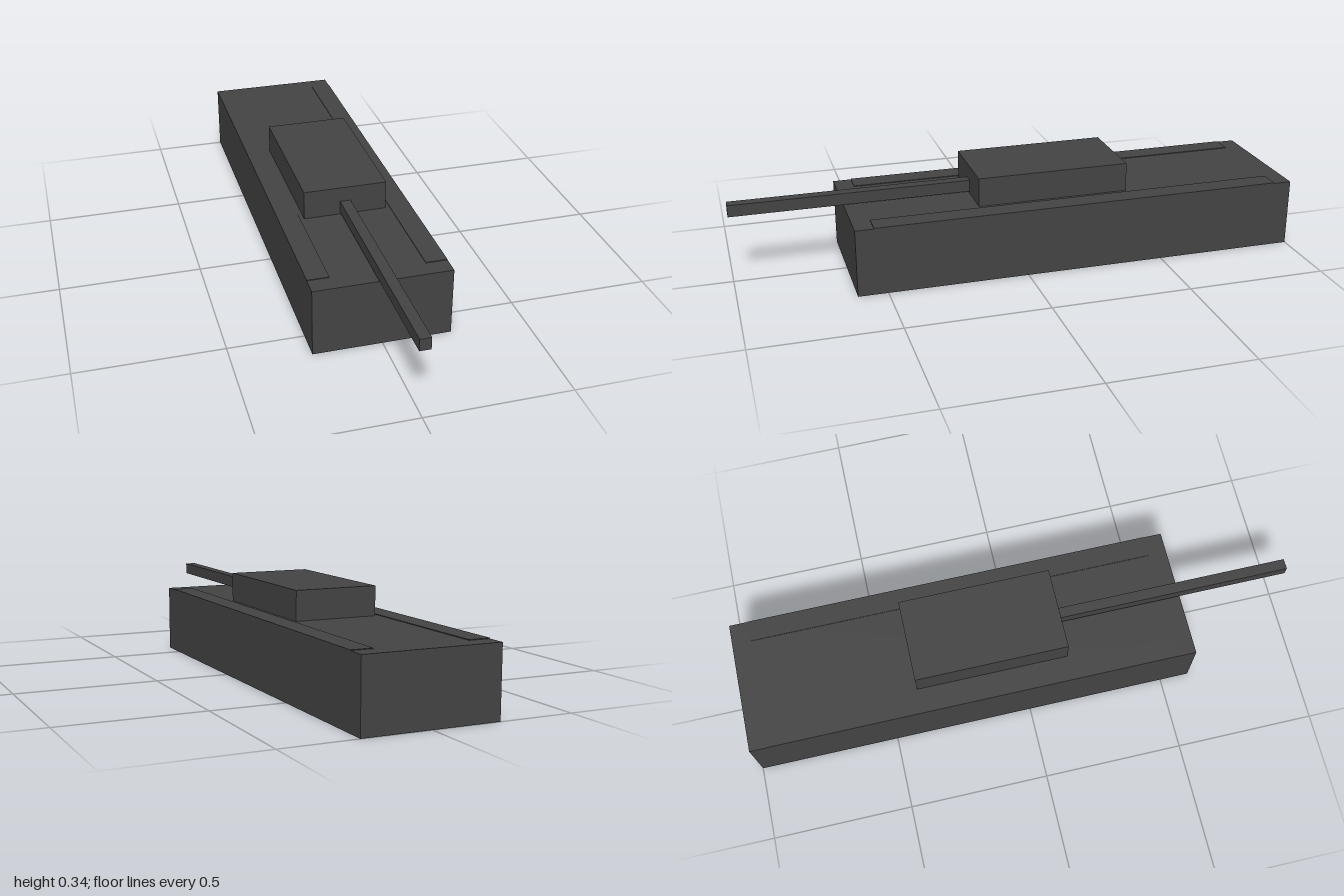
import * as THREE from 'three';

export function createModel() {
  const model = new THREE.Group();
  const material = new THREE.MeshStandardMaterial({ color: 0x444444 });

  // Box given by its lower and upper limits on each axis
  function addBox(name, [x0, x1], [y0, y1], [z0, z1]) {
    const geometry = new THREE.BoxGeometry(x1 - x0, y1 - y0, z1 - z0);
    const mesh = new THREE.Mesh(geometry, material);
    mesh.position.set((x0 + x1) / 2, (y0 + y1) / 2, (z0 + z1) / 2);
    mesh.name = name;
    model.add(mesh);
  }

  // Main body
  addBox('hull', [-0.238, 0.238], [0, 0.242], [-1, 0.605]);

  // Thin raised strips along the top edges of the hull
  addBox('leftTrackCover', [0.163, 0.238], [0.242, 0.2445], [-0.935, 0.54]);
  addBox('rightTrackCover', [-0.238, -0.163], [0.242, 0.2445], [-0.935, 0.54]);

  // Turret and its square barrel
  addBox('turret', [-0.148, 0.148], [0.242, 0.345], [-0.39, 0.155]);
  addBox('barrel', [-0.019, 0.019], [0.25, 0.292], [0.155, 1]);

  return model;
}
